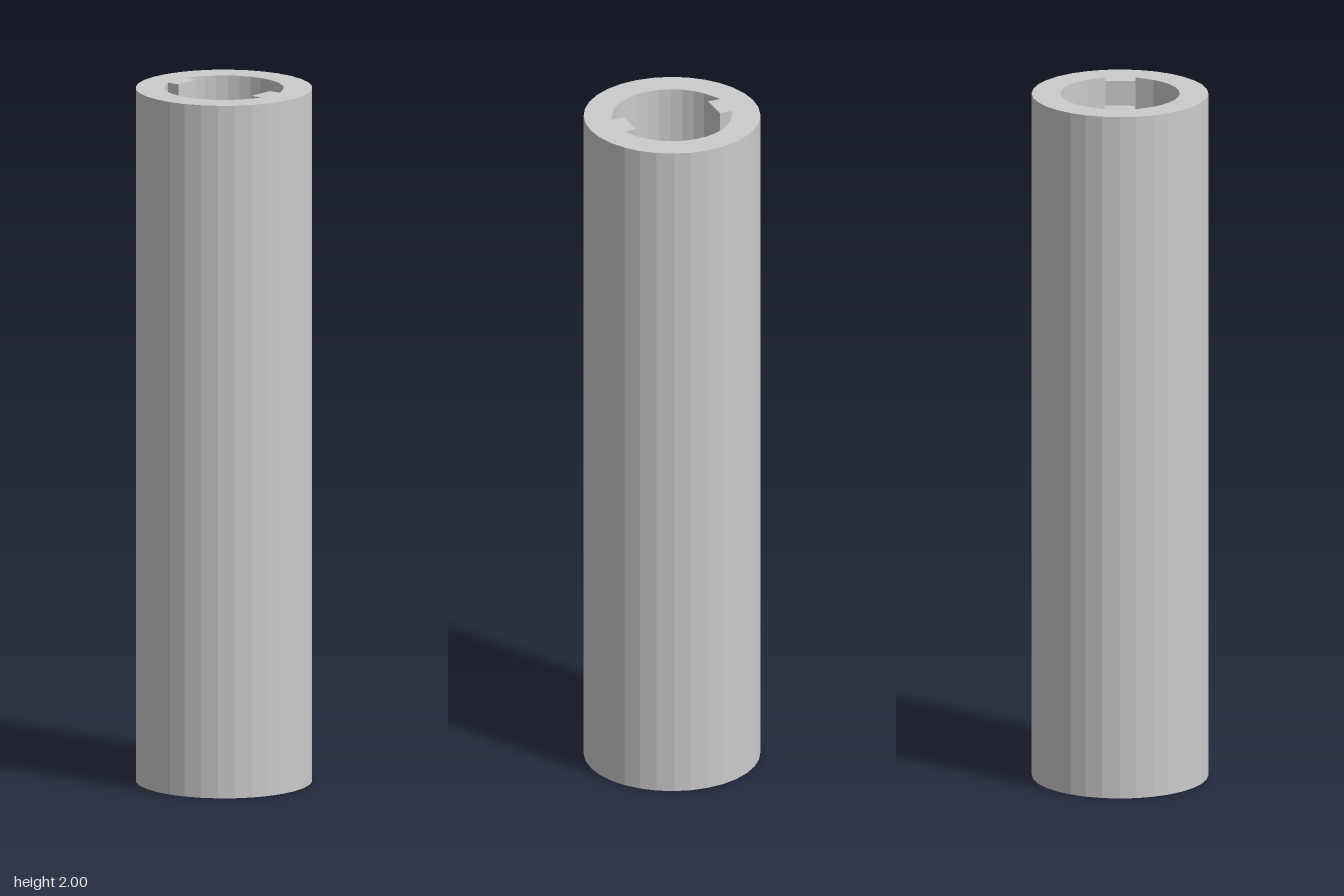
import * as THREE from 'three';

const HEIGHT = 2, OUTER = 0.25, BORE = 0.169, SIDES = 32;
const KEY_X = 0.13, KEY_ROOT = 0.167, KEY_HALF = 0.042;

const ringPoint = (r, i) => {
  const a = (i / SIDES) * Math.PI * 2;
  return new THREE.Vector2(r * Math.cos(a), r * Math.sin(a));
};

export function createModel() {
  const group = new THREE.Group();
  group.name = 'keyedTube';

  // Faceted round outside
  const section = new THREE.Shape(Array.from({ length: SIDES }, (_, i) => ringPoint(OUTER, i)));

  // Bore with two opposite square keys, each half turned from the other
  const bore = [];
  for (const s of [1, -1]) {
    bore.push(
      new THREE.Vector2(s * KEY_ROOT, -s * KEY_HALF),
      new THREE.Vector2(s * KEY_X, -s * KEY_HALF),
      new THREE.Vector2(s * KEY_X, s * KEY_HALF),
      new THREE.Vector2(s * KEY_ROOT, s * KEY_HALF)
    );
    for (let i = 2; i <= SIDES / 2 - 2; i++) bore.push(ringPoint(BORE, i).multiplyScalar(s));
  }
  section.holes.push(new THREE.Path(bore));

  // Section swept straight up
  const geometry = new THREE.ExtrudeGeometry(section, { depth: HEIGHT, bevelEnabled: false });
  geometry.rotateX(-Math.PI / 2);

  const tube = new THREE.Mesh(
    geometry,
    new THREE.MeshStandardMaterial({ color: 0xcccccc, flatShading: true })
  );
  tube.name = 'tubeWithInnerKeys';
  group.add(tube);
  return group;
}
